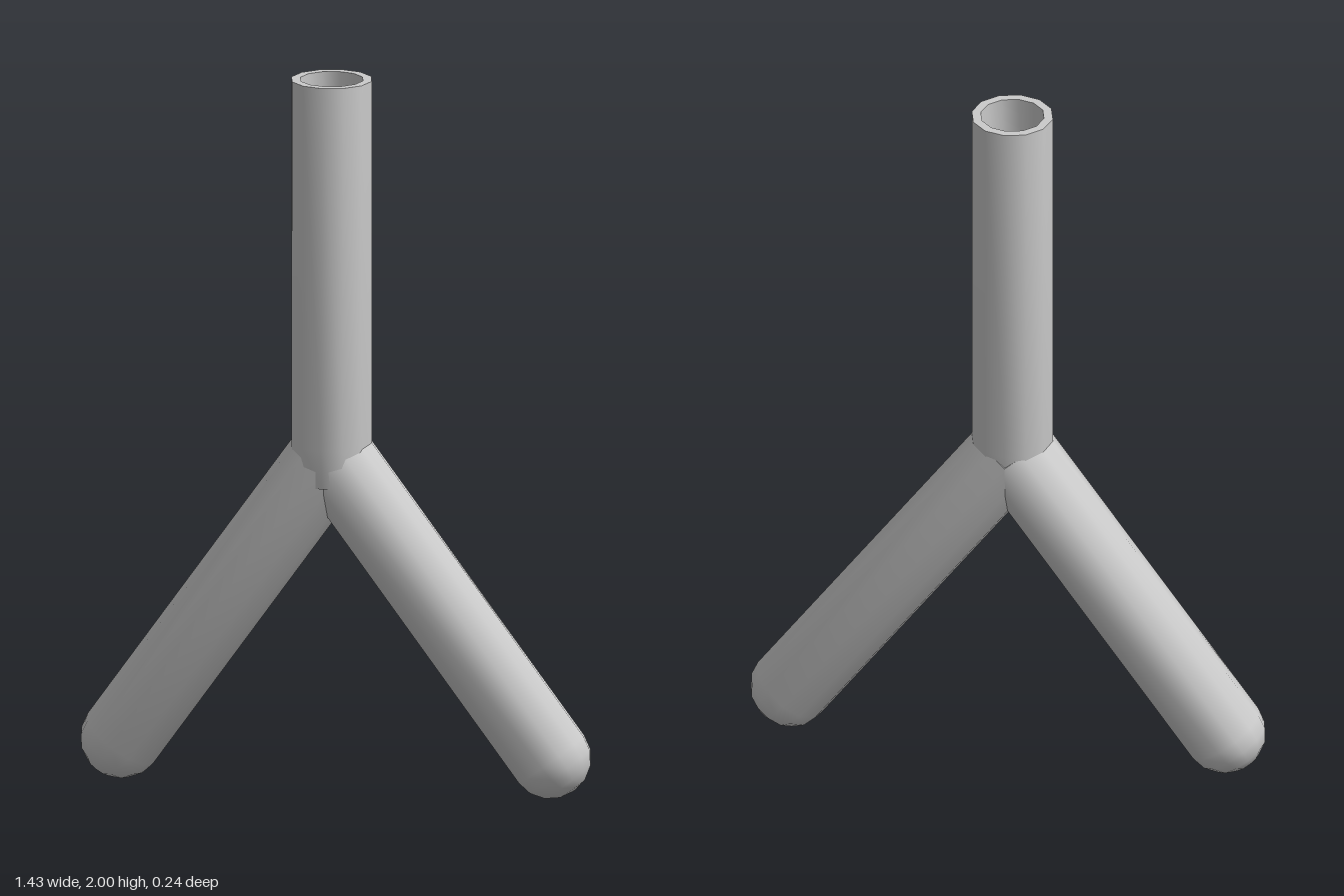
import * as THREE from 'three';
import { toCreasedNormals } from 'three/addons/utils/BufferGeometryUtils.js';

const SIDES = 12;
const R = 0.113;
const JOINT = new THREE.Vector3(-0.012, 0.944, -0.008);

// Quarter arc from the axis out to the wall: a rounded bottom
function bowl(radius, depth, y, rows = 4) {
  return Array.from({ length: rows + 1 }, (_, i) => {
    const a = (i / rows) * Math.PI / 2;
    return new THREE.Vector2(radius * Math.sin(a), y - depth * Math.cos(a));
  });
}

function turned(name, points, adjust) {
  const lathe = new THREE.LatheGeometry(points, SIDES);
  if (adjust) adjust(lathe.attributes.position);
  const mesh = new THREE.Mesh(
    toCreasedNormals(lathe, 0.75),
    new THREE.MeshStandardMaterial({ color: 0xcccccc })
  );
  mesh.name = name;
  return mesh;
}

// Straight leg with a rounded foot, running from the foot up to the joint
function leg(name, footX, footY) {
  const dx = JOINT.x - footX, dy = JOINT.y - footY;
  const length = Math.hypot(dx, dy);
  const mesh = turned(name, [
    ...bowl(R, 0.107, 0),
    new THREE.Vector2(R, length),
    new THREE.Vector2(0, length)
  ]);
  mesh.position.set(footX, footY, JOINT.z);
  mesh.rotation.z = Math.atan2(-dx, dy);
  return mesh;
}

export function createModel() {
  const group = new THREE.Group();
  group.name = 'forkedTube';

  // Upright tube: outer wall, rim, then the bore down to its rounded floor
  const stem = turned('stem', [
    new THREE.Vector2(0, 0.87),
    new THREE.Vector2(0.1, 0.87),
    new THREE.Vector2(R, 0.98),
    new THREE.Vector2(R, 2),
    new THREE.Vector2(0.088, 2),
    ...bowl(0.088, 0.07, 1.1).reverse()
  ], (p) => {
    // The front of the outer wall swells slightly towards the joint
    for (let i = 0; i < p.count; i++) {
      const z = p.getZ(i), y = p.getY(i);
      const outer = Math.hypot(p.getX(i), z) > 0.099;
      if (outer && z > 0 && y < 1) p.setZ(i, z * 1.12);
    }
  });
  stem.position.set(JOINT.x, 0, JOINT.z);
  group.add(stem);

  group.add(leg('rightLeg', -0.607, 0.108), leg('leftLeg', 0.607, 0.12));
  return group;
}
